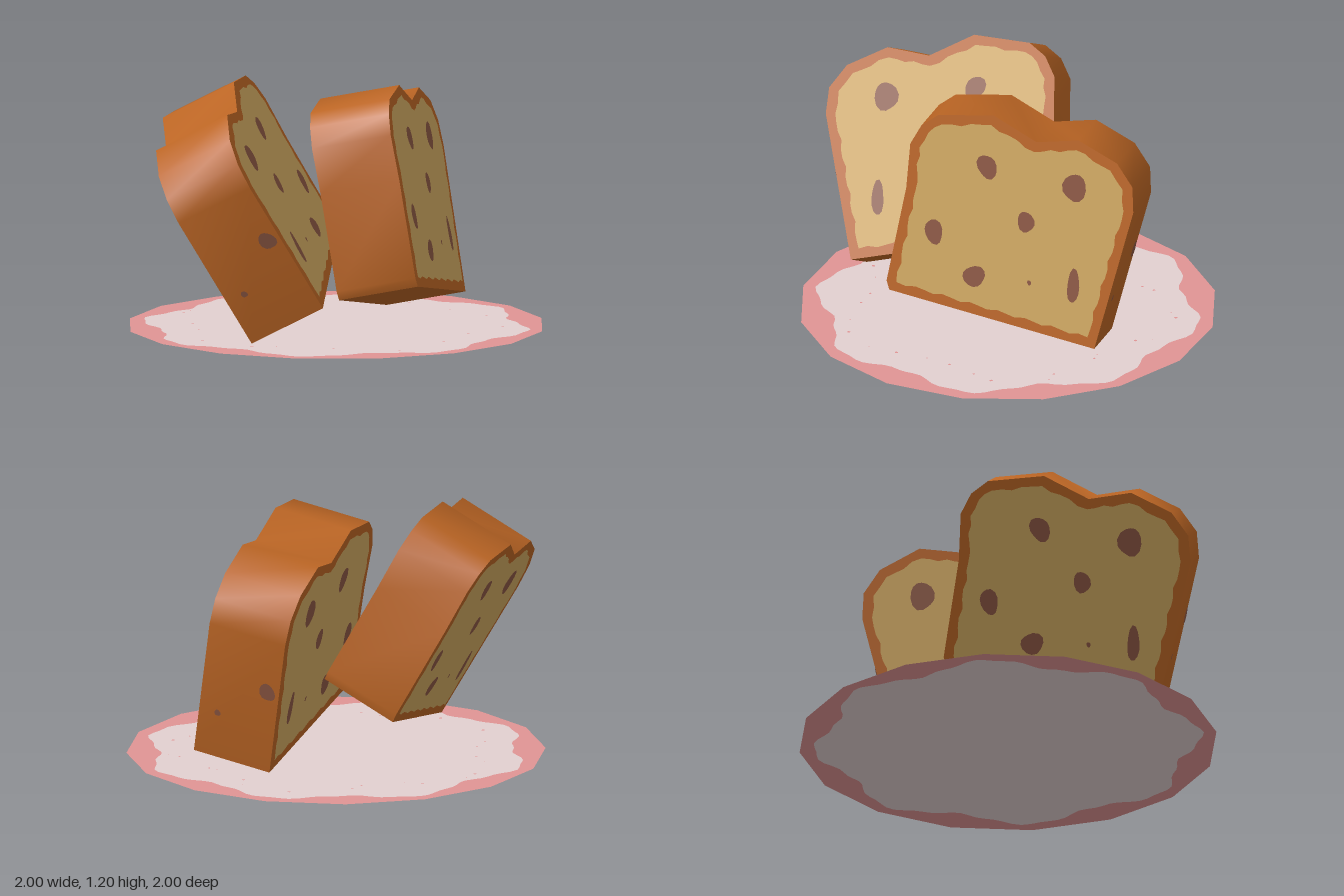
import * as THREE from 'three';
import { toCreasedNormals } from 'three/addons/utils/BufferGeometryUtils.js';

const paint = (name, color, side = THREE.FrontSide) => {
  const m = new THREE.MeshStandardMaterial({ color, side });
  m.name = name;
  return m;
};

const DEPTH = 0.39;
// Slice outline, counter-clockwise from the lower corner
const OUTLINE = [
  [0, 0], [1.01, 0.19], [1.025, 0.235], [0.95, 0.70], [0.94, 0.92], [0.89, 1.015],
  [0.81, 1.075], [0.54, 1.10], [0.326, 0.99], [0.123, 1.02], [-0.07, 0.925],
  [-0.15, 0.815], [-0.16, 0.69],
].map(([x, y]) => new THREE.Vector2(x, y));

// Raisins on the cut faces: x, y, half width, half height, tilt
const RAISINS = [
  [0.56, 0.845, 0.047, 0.06, -0.2], [0.13, 0.785, 0.055, 0.072, 0.2],
  [0.36, 0.592, 0.038, 0.055, -0.3], [0.805, 0.50, 0.043, 0.062, -0.4],
  [0.60, 0.30, 0.056, 0.05, 0.3], [0.115, 0.30, 0.032, 0.078, 0.05],
  [0.33, 0.295, 0.01, 0.012, 0],
];

// Outline moved inward, with a slightly wavy edge
function insetOutline(points, inset) {
  const n = points.length;
  const corners = points.map((p, i) => {
    const a = p.clone().sub(points[(i + n - 1) % n]).normalize();
    const b = points[(i + 1) % n].clone().sub(p).normalize();
    const na = new THREE.Vector2(-a.y, a.x);
    const nb = new THREE.Vector2(-b.y, b.x);
    const k = inset / (1 + na.dot(nb));
    return p.clone().addScaledVector(na.add(nb), k);
  });
  const out = [];
  corners.forEach((p, i) => {
    const q = corners[(i + 1) % n];
    const d = q.clone().sub(p);
    const steps = Math.max(1, Math.round(d.length() / 0.045));
    const normal = new THREE.Vector2(-d.y, d.x).normalize();
    for (let s = 0; s < steps; s++) {
      const wave = s ? 0.007 * Math.sin(s * 2.1 + i * 1.7) : 0;
      out.push(p.clone().lerp(q, s / steps).addScaledVector(normal, wave));
    }
  });
  return out;
}

// Slightly irregular flat blob
function raisinGeometry(w, h, tilt, seed) {
  const pts = [];
  for (let i = 0; i < 14; i++) {
    const a = (i / 14) * Math.PI * 2;
    const r = 1 + 0.1 * Math.sin(2 * a + seed) + 0.06 * Math.sin(3 * a + seed * 2);
    pts.push(new THREE.Vector2(Math.cos(a) * w * r, Math.sin(a) * h * r));
  }
  return new THREE.ShapeGeometry(new THREE.Shape(pts)).rotateZ(tilt);
}

function createSlice(name, mats) {
  const slice = new THREE.Group();
  slice.name = name;
  const add = (partName, geometry, material) => {
    const mesh = new THREE.Mesh(geometry, material);
    mesh.name = partName;
    slice.add(mesh);
    return mesh;
  };

  // Crust block
  const block = new THREE.ExtrudeGeometry(new THREE.Shape(OUTLINE), { depth: DEPTH, bevelEnabled: false });
  add('crust', toCreasedNormals(block, 0.65), mats.crust);

  // Crumb and raisins on both cut faces
  const crumbShape = new THREE.Shape(insetOutline(OUTLINE, 0.047));
  for (const [label, z, dir] of [['Back', 0, -1], ['Front', DEPTH, 1]]) {
    add('crumb' + label, new THREE.ShapeGeometry(crumbShape).translate(0, 0, z + dir * 0.003), mats.crumb);
    RAISINS.forEach(([x, y, w, h, tilt], i) => {
      add('raisin' + label + i, raisinGeometry(w, h, tilt, i).translate(x, y, z + dir * 0.006), mats.raisin);
    });
  }

  // Raisins on the crust, lying on the straight slanted side
  const top = OUTLINE[OUTLINE.length - 1];
  const lean = Math.atan2(-top.x, top.y);
  for (const [v, z, w, h] of [[0.42, 0.33, 0.036, 0.05], [0.235, 0.096, 0.014, 0.018]]) {
    const spot = add('crustRaisin', raisinGeometry(w, h, 0.4, 2), mats.raisin);
    spot.geometry.rotateY(-Math.PI / 2).rotateZ(lean);
    spot.position.set((top.x / top.y) * v - 0.004, v - 0.001, z);
  }
  return slice;
}

function createPlate(mats) {
  const plate = new THREE.Group();
  plate.name = 'plate';
  const add = (name, geometry, material) => {
    const mesh = new THREE.Mesh(geometry.rotateX(-Math.PI / 2), material);
    mesh.name = name;
    plate.add(mesh);
    return mesh;
  };
  const ringPoint = (i, n, r) => {
    const a = (i / n) * Math.PI * 2;
    return new THREE.Vector2(Math.cos(a) * r, Math.sin(a) * r);
  };

  // Sixteen-sided rim around a scalloped centre
  const scallop = Array.from({ length: 128 }, (_, i) => {
    const a = (i / 128) * Math.PI * 2;
    return ringPoint(i, 128, 0.885 + 0.045 * Math.cos(8 * a) + 0.01 * Math.sin(27 * a));
  });
  const rim = new THREE.Shape(Array.from({ length: 16 }, (_, i) => ringPoint(i, 16, 1)));
  rim.holes.push(new THREE.Path(scallop));
  add('plateRim', new THREE.ShapeGeometry(rim), mats.rim);
  add('plateCentre', new THREE.ShapeGeometry(new THREE.Shape(scallop)), mats.plate);

  // Scattered specks inside the rim
  for (let i = 0; i < 32; i++) {
    const r = 0.74 + 0.07 * Math.sin(i * 5.3);
    const speck = add('plateSpeck', new THREE.CircleGeometry(0.006 + 0.003 * Math.sin(i * 2.7), 6), mats.rim);
    const p = ringPoint(i + 0.4 * Math.sin(i * 3.1), 32, r);
    speck.position.set(p.x, 0.003, p.y);
  }
  return plate;
}

export function createModel() {
  const mats = {
    crust: paint('crust brown', 0xbb6524),
    crumb: paint('crumb tan', 0xd0a961, THREE.DoubleSide),
    raisin: paint('raisin brown', 0x8c5743, THREE.DoubleSide),
    plate: paint('plate white', 0xe2d0d0, THREE.DoubleSide),
    rim: paint('rim pink', 0xe09494, THREE.DoubleSide),
  };
  const model = new THREE.Group();
  model.name = 'breadPlate';
  model.add(createPlate(mats));

  // Each slice hangs from the lower corner of its left-hand face and leans to the right
  const place = (name, turn, twist, lean, x, y, z) => {
    const slice = createSlice(name, mats);
    if (turn > 0) slice.children.forEach((part) => { part.position.z -= DEPTH; });
    const turned = new THREE.Group();
    turned.name = name + 'Turn';
    slice.rotation.z = twist;
    turned.rotation.y = turn;
    turned.add(slice);
    const holder = new THREE.Group();
    holder.name = name + 'Lean';
    holder.rotation.z = lean;
    holder.position.set(x, y, z);
    holder.add(turned);
    model.add(holder);
  };
  place('leftSlice', -Math.PI / 2, 0, 0.2, 0.525, 0.09, -0.54);
  place('rightSlice', Math.PI / 2, 0.05, 0.485, 0.08, 0.205, 0.75);
  return model;
}
